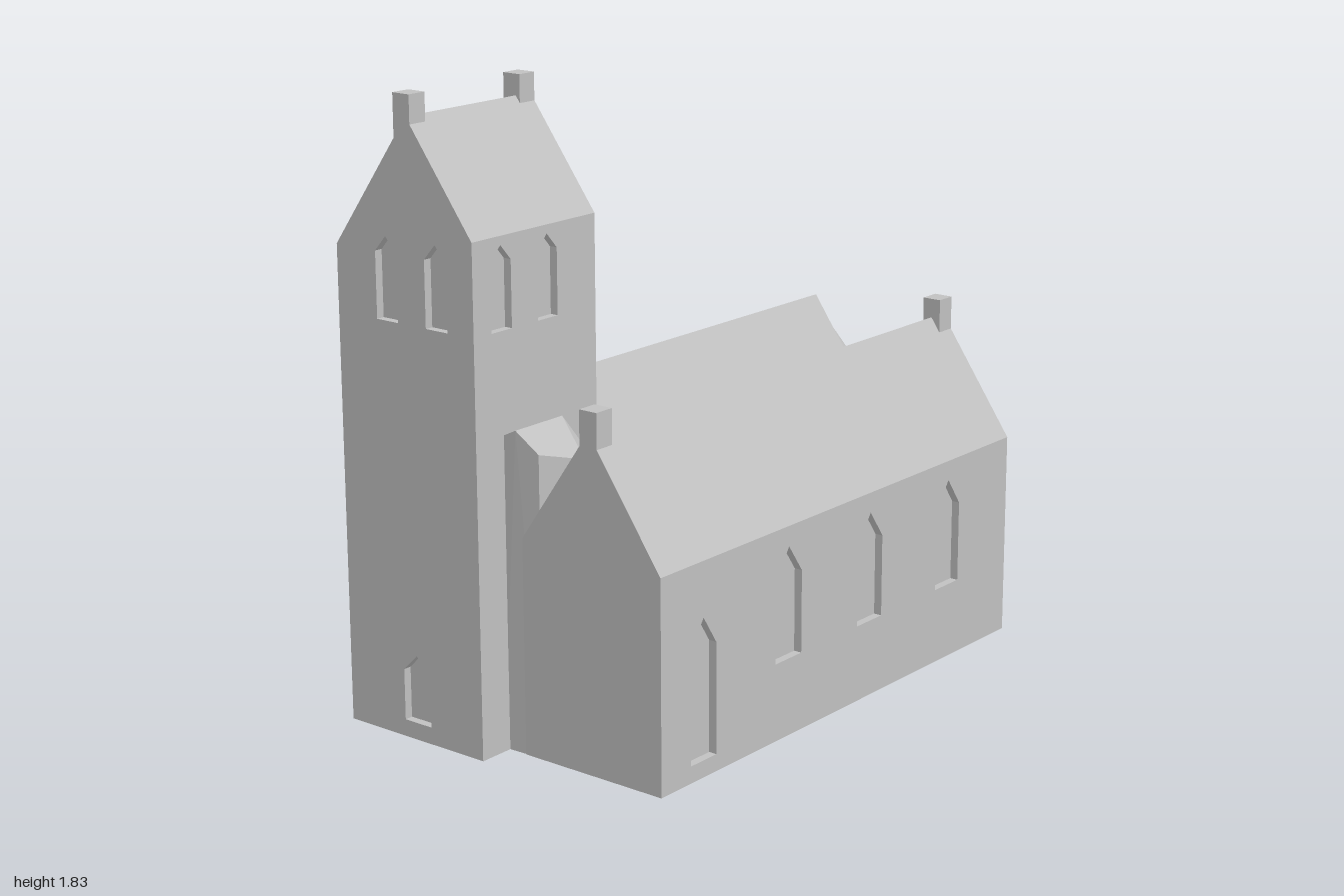
import * as THREE from 'three';
import { ConvexGeometry } from 'three/addons/geometries/ConvexGeometry.js';

const D = 0.025; // depth of the window niches
const stone = new THREE.MeshStandardMaterial({ color: 0xc0c0c0 });
stone.name = 'stone';

function add(parent, name, geometry) {
  const mesh = new THREE.Mesh(geometry, stone);
  mesh.name = name;
  parent.add(mesh);
  return mesh;
}

function polygon(points, Type = THREE.Shape) {
  return new Type(points.map(([u, y]) => new THREE.Vector2(u, y)));
}

// Pointed opening: centre, width, sill, shoulder and peak heights
function opening([c, w, sill, shoulder, peak]) {
  const h = w / 2;
  return polygon([[c - h, sill], [c - h, shoulder], [c, peak], [c + h, shoulder], [c + h, sill]], THREE.Path);
}

function panel(points, openings, depth) {
  const shape = polygon(points);
  shape.holes = openings.map(opening);
  return new THREE.ExtrudeGeometry(shape, { depth, bevelEnabled: false });
}

// Saddle-roofed block: solid core, two gable walls and two side walls with niches
function gabledBlock(name, s) {
  const g = new THREE.Group();
  g.name = name;
  const slopeF = (s.ridgeY - s.eaveF) / (s.zF - s.ridgeZ);
  const slopeB = (s.ridgeY - s.eaveB) / (s.ridgeZ - s.zB);
  // gable profile, u = -z, pulled in by the given inset
  const profile = (inset) => [
    [-s.zF + inset, 0], [-s.zB - inset, 0], [-s.zB - inset, s.eaveB + inset * slopeB],
    [-s.ridgeZ, s.ridgeY], [-s.zF + inset, s.eaveF + inset * slopeF],
  ];
  const alongX = (inset, openings, x, length) =>
    panel(profile(inset), openings.map(([z, ...rest]) => [-z, ...rest]), length)
      .rotateY(Math.PI / 2).translate(x, 0, 0);
  add(g, 'coreAndRoof', alongX(D, [], s.x0 + D, s.x1 - s.x0 - 2 * D));
  add(g, 'leftEndGable', alongX(0, s.west || [], s.x0, D));
  add(g, 'rightEndGable', alongX(0, s.east || [], s.x1 - D, D));

  // side walls, with tops tilted to meet the roof slope
  const side = (label, eave, slope, outerZ, z, openings) => {
    const a = s.x0 + D, b = s.x1 - D;
    const geo = panel([[a, 0], [b, 0], [b, eave], [a, eave]], openings, D).translate(0, 0, z);
    const p = geo.attributes.position;
    for (let i = 0; i < p.count; i++) {
      if (Math.abs(p.getY(i) - eave) < 1e-4 && Math.abs(p.getZ(i) - outerZ) > D / 2) {
        p.setY(i, eave + D * slope);
      }
    }
    geo.computeVertexNormals();
    add(g, label, geo);
  };
  side('frontWall', s.eaveF, slopeF, s.zF, s.zF - D, s.front || []);
  side('backWall', s.eaveB, slopeB, s.zB, s.zB, s.back || []);

  // square finials at the ends of the ridge
  if (s.finial) {
    const [w, top, z] = s.finial;
    for (const x of [s.x0 + w / 2, s.x1 - w / 2]) {
      const h = top - s.ridgeY + 0.1;
      add(g, 'gableFinial', new THREE.BoxGeometry(w, h, 0.06).translate(x, top - h / 2, z));
    }
  }
  return g;
}

function createApse() {
  const g = new THREE.Group();
  g.name = 'apse';
  const r = 0.2325, h = 0.612, gap = 0.22, half = r * Math.sin(gap);
  const sweep = Math.PI / 2 - gap;
  for (const start of [0, Math.PI / 2 + gap]) {
    add(g, 'apseWall', new THREE.CylinderGeometry(r, r, h, 24, 1, true, start, sweep).translate(0, h / 2, 0));
  }
  // window bay bent to the curve of the wall
  const bay = panel([[-half, 0], [half, 0], [half, h], [-half, h]], [[0, 0.075, 0.23, 0.36, 0.405]], D)
    .rotateY(Math.PI / 2);
  const p = bay.attributes.position;
  for (let i = 0; i < p.count; i++) {
    p.setX(i, Math.sqrt(r * r - p.getZ(i) ** 2) - D + p.getX(i));
  }
  bay.computeVertexNormals();
  add(g, 'apseWindowBay', bay);
  add(g, 'apseNicheBack', new THREE.BoxGeometry(0.02, 0.25, 0.09).translate(r - D - 0.013, 0.32, 0));
  add(g, 'apseRoof', new THREE.ConeGeometry(r, 0.345, 48, 1, true, 0, Math.PI).translate(0, h + 0.1725, 0));
  add(g, 'apseFloor', new THREE.CircleGeometry(r, 32, -Math.PI / 2, Math.PI).rotateX(Math.PI / 2));
  g.position.set(0.766, 0, -0.2125);
  return g;
}

// Small polygonal stair turret between the tower and the front nave
function createTurret() {
  const eaves = [
    [-0.89, 0.9, -0.04], [-0.885, 0.875, 0.1], [-0.75, 0.84, 0.145],
    [-0.65, 0.845, 0.05], [-0.56, 0.82, -0.04],
  ];
  const points = [new THREE.Vector3(-0.89, 0.93, 0.022), new THREE.Vector3(-0.7, 0.93, 0.022)];
  for (const [x, y, z] of eaves) {
    points.push(new THREE.Vector3(x, y, z), new THREE.Vector3(x, 0, z));
  }
  return new ConvexGeometry(points);
}

export function createModel() {
  const model = new THREE.Group();
  model.name = 'church';

  model.add(gabledBlock('frontNave', {
    x0: -0.89, x1: 0.78, zF: 0.525, zB: 0.04, eaveF: 0.62, eaveB: 0.63, ridgeZ: 0.28, ridgeY: 0.972,
    front: [[-0.71, 0.11, 0.05, 0.375, 0.46],
      ...[-0.33, 0.06, 0.46].map((x) => [x, 0.12, 0.23, 0.475, 0.56])],
    east: [[0.285, 0.145, 0.23, 0.455, 0.56]],
    finial: [0.063, 1.03, 0.28],
  }));

  model.add(gabledBlock('rearNave', {
    x0: -0.56, x1: 0.766, zF: 0.04, zB: -0.475, eaveF: 0.63, eaveB: 0.565, ridgeZ: -0.195, ridgeY: 0.965,
    back: [[0.53, 0.085, 0.29, 0.46, 0.52],
      ...[0.405, 0.125, -0.15, -0.43].map((x) => [x, 0.135, 0.12, 0.335, 0.41])],
  }));

  const belfry = (c) => [c, 0.08, 1.2, 1.39, 1.435];
  const belfryX = [-0.89, -0.705], belfryZ = [-0.155, -0.338];
  model.add(gabledBlock('tower', {
    x0: -1, x1: -0.507, zF: -0.02, zB: -0.525, eaveF: 1.46, eaveB: 1.39, ridgeZ: -0.25, ridgeY: 1.77,
    front: belfryX.map(belfry),
    back: belfryX.map((x) => [x, 0.08, 1.2, 1.375, 1.384]),
    east: [...belfryZ.map(belfry), [-0.465, 0.08, 0.04, 0.265, 0.27]],
    west: [...belfryZ.map(belfry), [-0.265, 0.1, 0.05, 0.2, 0.25]],
    finial: [0.06, 1.83, -0.265],
  }));

  model.add(createApse());
  add(model, 'stairTurret', createTurret());
  return model;
}
